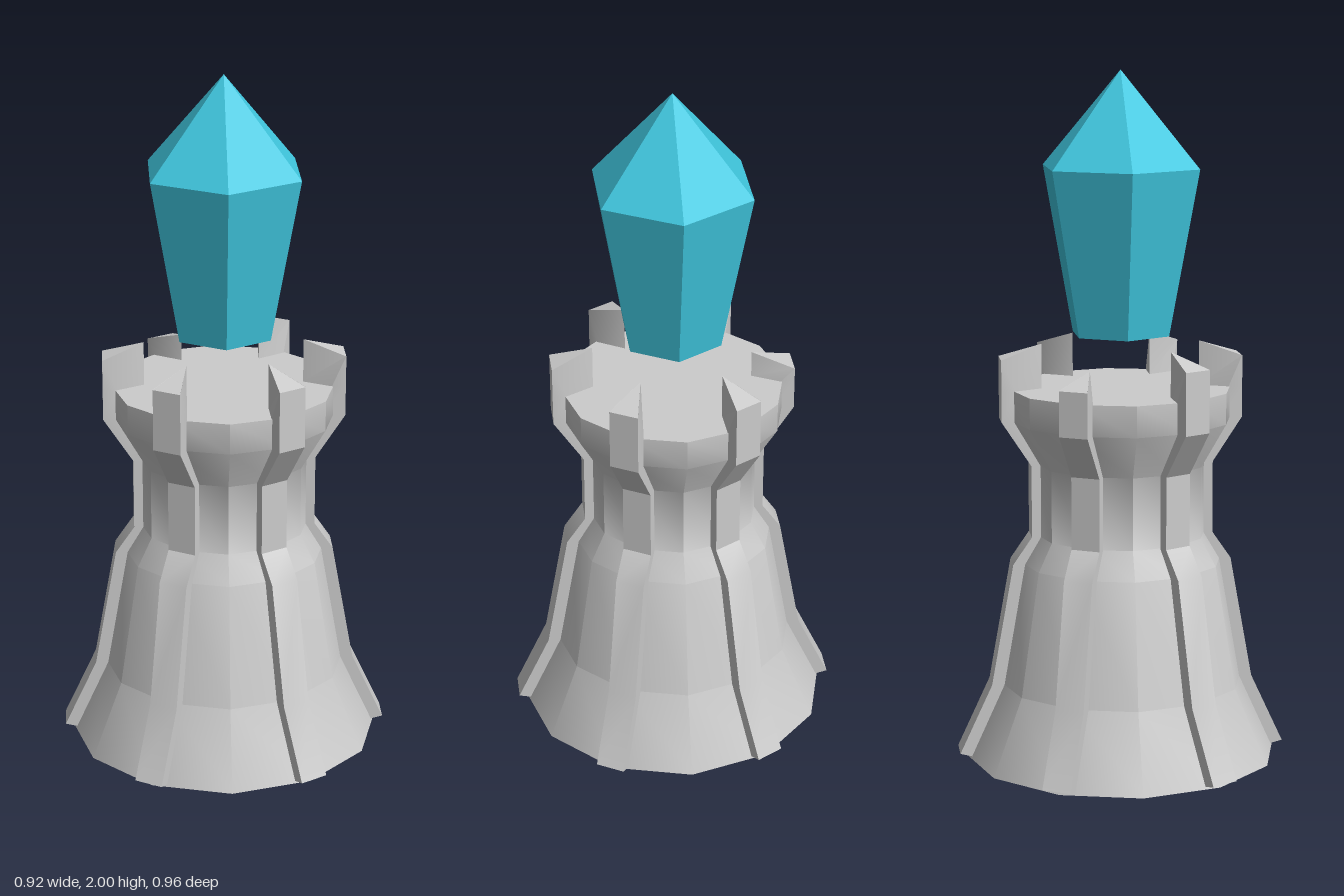
import * as THREE from 'three';
import { toCreasedNormals } from 'three/addons/utils/BufferGeometryUtils.js';

const CREASE = 0.521; // just under 30 degrees, so upright facets stay sharp
const HALF_WIDTH = 0.043;

// Buttress that follows the wall and ends in a pointed merlon.
// Each level: [outer radius, outer y, shoulder radius, shoulder y, tip radius, tip y]
function buttressGeometry(drop) {
  const levels = [
    [0.48, 0.015, 0.42, 0, 0.4, 0],
    [0.385, 0.22, 0.32, 0.22, 0.3, 0.22],
    [0.32, 0.58, 0.26, 0.58, 0.24, 0.58],
    [0.265, 0.66, 0.21, 0.66, 0.2, 0.66],
    [0.265, 0.87, 0.21, 0.87, 0.2, 0.87],
    [0.35, 1.0, 0.29, 1.0, 0.23, 1.0],
    [0.35, 1.09, 0.31, 1.09, 0.23, 1.09],
    [0.35, 1.18 - drop, 0.349, 1.181 - drop, 0.23, 1.22 - drop],
  ];
  const w = HALF_WIDTH;
  const positions = [];
  for (const [ro, yo, rs, ys, rt, yt] of levels) {
    positions.push(-w, yo, ro, w, yo, ro, w, ys, rs, 0, yt, rt, -w, ys, rs);
  }
  const n = 5;
  const index = [];
  for (let s = 0; s < levels.length - 1; s++) {
    for (let i = 0; i < n; i++) {
      const a = s * n + i;
      const b = s * n + ((i + 1) % n);
      index.push(a, b, b + n, a, b + n, a + n);
    }
  }
  const top = (levels.length - 1) * n;
  // Bottom and top caps
  index.push(0, 2, 1, 0, 4, 2, 4, 3, 2);
  index.push(top, top + 1, top + 3, top + 1, top + 2, top + 3, top, top + 3, top + 4);
  const geometry = new THREE.BufferGeometry();
  geometry.setAttribute('position', new THREE.Float32BufferAttribute(positions, 3));
  geometry.setIndex(index);
  return toCreasedNormals(geometry, CREASE);
}

export function createModel() {
  const model = new THREE.Group();
  model.name = 'crystalTower';
  const stone = new THREE.MeshStandardMaterial({ color: 0xcccccc });
  const crystalMaterial = new THREE.MeshStandardMaterial({ color: 0x40c8e0, flatShading: true });

  const add = (name, geometry, material, parent = model) => {
    const mesh = new THREE.Mesh(geometry, material);
    mesh.name = name;
    parent.add(mesh);
    return mesh;
  };

  // Twelve-sided tower: flared base, neck, corbel and flat deck
  const profile = [
    [0, 0], [0.46, 0], [0.36, 0.22], [0.297, 0.58], [0.25, 0.66],
    [0.25, 0.87], [0.325, 1.0], [0.325, 1.09], [0, 1.09],
  ].map(([r, y]) => new THREE.Vector2(r, y));
  add('towerBody', toCreasedNormals(new THREE.LatheGeometry(profile, 12), CREASE), stone);

  // Six buttresses; the rear merlon is a little lower
  const buttresses = new THREE.Group();
  buttresses.name = 'buttresses';
  model.add(buttresses);
  const tall = buttressGeometry(0);
  const low = buttressGeometry(0.05);
  for (let i = 0; i < 6; i++) {
    const rear = i === 3;
    const mesh = add(rear ? 'rearButtress' : 'buttress', rear ? low : tall, stone, buttresses);
    mesh.rotation.y = (i * Math.PI) / 3;
  }

  // Floating six-sided crystal: tapered shaft and pointed cap
  const crystal = new THREE.Group();
  crystal.name = 'crystal';
  model.add(crystal);
  const shaft = new THREE.CylinderGeometry(0.242, 0.15, 0.48, 6, 1, false, Math.PI / 6);
  add('crystalShaft', shaft, crystalMaterial, crystal).position.y = 1.485;
  const cap = new THREE.ConeGeometry(0.242, 0.275, 6, 1, true, Math.PI / 6);
  add('crystalCap', cap, crystalMaterial, crystal).position.y = 1.8625;

  return model;
}
